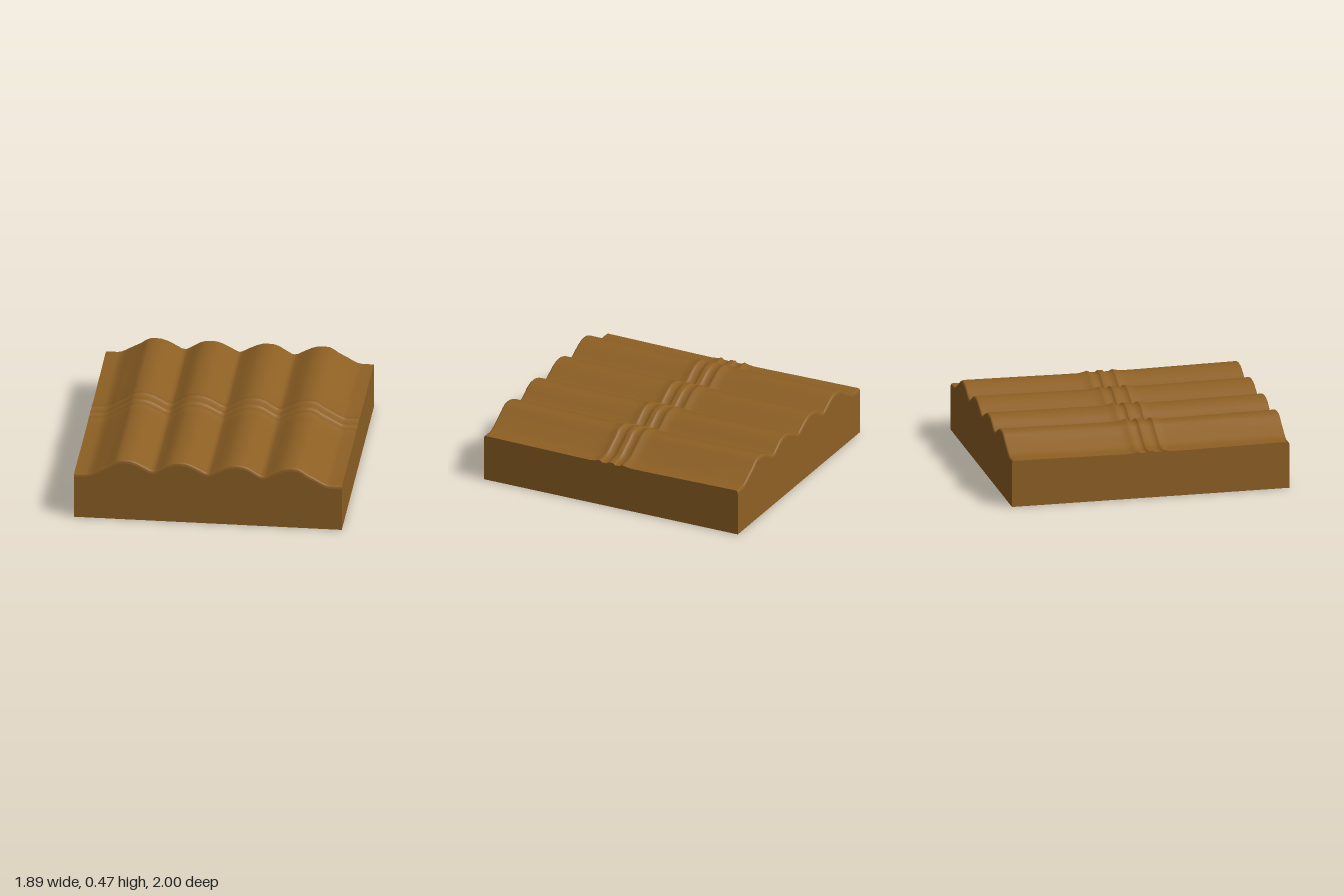
import * as THREE from 'three';

const HALF_X = 0.945;
const HALF_Z = 1;

// Height across half the width: [x, y]; mirrored for -x
const waveHalf = [
  [0, 0.39], [0.02, 0.396], [0.07, 0.424], [0.12, 0.449], [0.16, 0.462], [0.2, 0.465],
  [0.24, 0.462], [0.28, 0.449], [0.32, 0.424], [0.365, 0.396], [0.385, 0.391],
  [0.41, 0.396], [0.46, 0.424], [0.51, 0.449], [0.55, 0.462], [0.59, 0.465],
  [0.63, 0.462], [0.66, 0.449], [0.7, 0.42], [0.75, 0.394], [0.8, 0.365],
  [0.83, 0.35], [0.86, 0.343], [HALF_X, 0.343],
];
// Height offset along half the length: [z, dy]; beads across the middle, eased ends
const beadHalf = [
  [0, -0.001], [0.016, -0.001], [0.022, -0.004], [0.03, -0.013], [0.05, -0.014], [0.075, -0.011],
  [0.082, -0.003], [0.092, 0], [0.105, -0.004], [0.13, -0.01], [0.16, -0.014], [0.3, -0.013],
  [0.45, -0.011], [0.7, -0.008], [0.985, -0.005], [0.994, -0.009], [0.998, -0.016], [HALF_Z, -0.03],
];
const mirror = (half) => [...half.slice(1).reverse().map(([a, b]) => [-a, b]), ...half];

// Upright wall closed along its top by a profile
function wall(profile, drop) {
  const first = profile[0][0];
  const last = profile[profile.length - 1][0];
  const shape = new THREE.Shape();
  shape.moveTo(first, 0);
  shape.lineTo(last, 0);
  for (const [a, y] of [...profile].reverse()) shape.lineTo(a, y + drop);
  return new THREE.ShapeGeometry(shape);
}

export function createModel() {
  const group = new THREE.Group();
  const wood = new THREE.MeshStandardMaterial({ color: 0x8e6024 });
  wood.name = 'brown wood';
  const blue = new THREE.MeshStandardMaterial({ color: 0x24566a });
  blue.name = 'dark blue';

  const add = (name, geometry, material = wood) => {
    const mesh = new THREE.Mesh(geometry, material);
    mesh.name = name;
    group.add(mesh);
    return mesh;
  };

  const waves = mirror(waveHalf);
  const beads = mirror(beadHalf);

  // Rippled top with the beads running across it
  const top = new THREE.PlaneGeometry(1, 1, waves.length - 1, beads.length - 1);
  const pos = top.attributes.position;
  beads.forEach(([z, dy], j) => {
    waves.forEach(([x, y], i) => pos.setXYZ(j * waves.length + i, x, y + dy, z));
  });
  top.computeVertexNormals();
  add('rippledTop', top);

  // Front and back walls
  const endDrop = beadHalf[beadHalf.length - 1][1];
  const endWall = wall(waves, endDrop);
  add('frontWall', endWall).position.z = HALF_Z;
  const back = add('backWall', endWall);
  back.position.z = -HALF_Z;
  back.rotation.y = Math.PI;

  // Left and right walls
  const sideWall = wall(beads, waveHalf[waveHalf.length - 1][1]);
  for (const [name, s] of [['leftWall', 1], ['rightWall', -1]]) {
    const side = add(name, sideWall);
    side.position.x = s * HALF_X;
    side.rotation.y = s * Math.PI / 2;
  }

  // Underside
  add('underside', new THREE.PlaneGeometry(2 * HALF_X, 2 * HALF_Z).rotateX(Math.PI / 2));

  // Small flecks on the underside: [x, z, radius]
  const flecks = [
    [0.79, -0.27, 0.022], [0.87, -0.49, 0.01], [0.35, -0.49, 0.012], [-0.04, -0.42, 0.02],
    [-0.22, -0.47, 0.022], [0.11, -0.74, 0.01], [0.13, -0.96, 0.008], [-0.55, -0.46, 0.02],
    [-0.54, -0.59, 0.016], [-0.87, -0.48, 0.014], [-0.4, 0.1, 0.01], [-0.02, 0.17, 0.01],
    [0.17, 0.37, 0.01], [0.25, 0.45, 0.011], [0.54, 0.68, 0.014], [-0.11, 0.85, 0.018],
    [-0.45, 0.55, 0.016], [-0.82, -0.28, 0.012], [-0.05, -0.71, 0.01],
  ];
  for (const [x, z, r] of flecks) {
    const fleck = add('undersideFleck', new THREE.CircleGeometry(r, 8).rotateX(Math.PI / 2), blue);
    fleck.position.set(x, -0.001, z);
  }
  return group;
}
